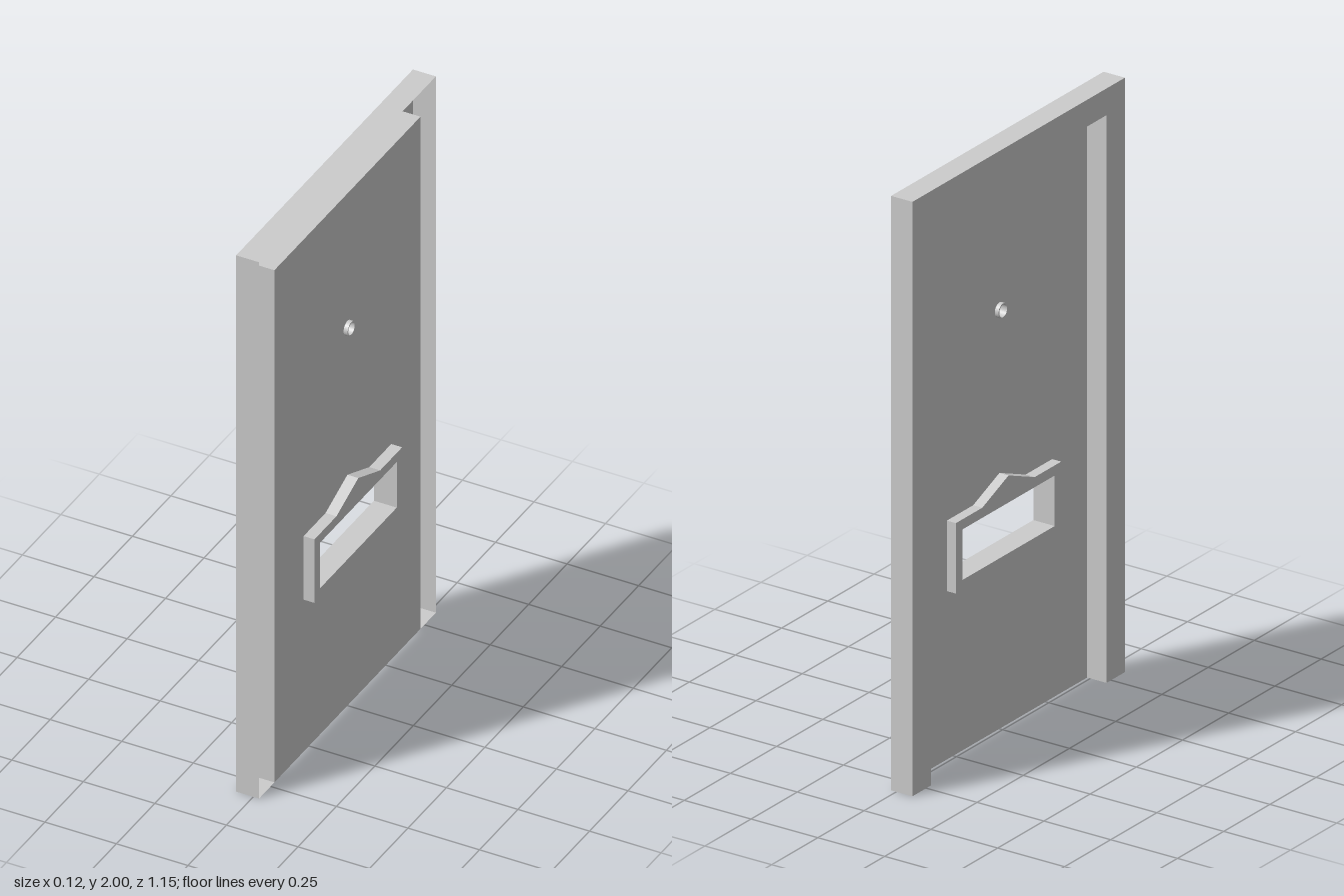
import * as THREE from 'three';
import { mergeGeometries } from 'three/addons/utils/BufferGeometryUtils.js';

const material = new THREE.MeshStandardMaterial({ color: 0xcccccc, side: THREE.DoubleSide });
const FACE = 0.02;    // outer plane of the door
const BACK = -0.06;   // rear plane of the frame
const DOOR = 0.008;   // thickness of the door leaf

const toPoints = (list) => list.map(([u, v]) => new THREE.Vector2(u, v));
const rect = (w, y0, y1) => toPoints([[-w, y0], [w, y0], [w, y1], [-w, y1]]);

// Profiles are drawn in the door plane, then turned so that depth runs along x.
function addPart(group, name, geometry, x) {
  geometry.rotateY(Math.PI / 2);
  const mesh = new THREE.Mesh(geometry, material);
  mesh.name = name;
  mesh.position.x = x;
  group.add(mesh);
}

function plate(outline, holes, depth) {
  const shape = new THREE.Shape(outline);
  shape.holes = holes.map((h) => new THREE.Path(h));
  return new THREE.ExtrudeGeometry(shape, { depth, bevelEnabled: false, curveSegments: 24 });
}

// Casing that is closed at the rear and open at the front
function openCasing(outline, depth) {
  const parts = [new THREE.ShapeGeometry(new THREE.Shape(outline)).scale(1, 1, -1)];
  outline.forEach((a, i) => {
    const b = outline[(i + 1) % outline.length];
    const wall = new THREE.PlaneGeometry(a.distanceTo(b), depth);
    wall.rotateX(Math.PI / 2).rotateZ(Math.atan2(b.y - a.y, b.x - a.x));
    parts.push(wall.translate((a.x + b.x) / 2, (a.y + b.y) / 2, depth / 2));
  });
  // Rear panel faces away from the door
  const index = parts[0].index;
  for (let i = 0; i < index.count; i += 3) {
    const first = index.getX(i);
    index.setX(i, index.getX(i + 2));
    index.setX(i + 2, first);
  }
  parts[0].computeVertexNormals();
  return mergeGeometries(parts);
}

export function createModel() {
  const group = new THREE.Group();
  group.name = 'door';

  // Frame with two jambs and a header
  const frame = toPoints([
    [-0.575, 0], [-0.475, 0], [-0.475, 1.91], [0.475, 1.91],
    [0.475, 0], [0.575, 0], [0.575, 2], [-0.575, 2],
  ]);
  addPart(group, 'frame', openCasing(frame, FACE - BACK), BACK);

  // Door leaf, cut through for the letter slot and peephole
  const circle = (r) => new THREE.Path().absarc(0, 1.41, r, 0, Math.PI * 2).getPoints(24).slice(0, -1);
  const slot = rect(0.25, 0.6, 0.77);
  const bore = circle(0.021);
  addPart(group, 'doorLeaf', plate(rect(0.475, 0, 1.91), [slot, bore], DOOR), FACE - DOOR);

  // Letter slot surround with a small pediment, on both faces
  const surround = toPoints([
    [-0.285, 0.567], [0.285, 0.567], [0.285, 0.804], [0.142, 0.804],
    [0, 0.861], [-0.142, 0.804], [-0.285, 0.804],
  ]);
  const slotDepth = 0.038;
  addPart(group, 'outerSlotSurround', plate(surround, [slot], slotDepth), FACE);
  addPart(group, 'innerSlotSurround', plate(surround, [slot], slotDepth), FACE - DOOR - slotDepth + 0.004);

  // Peephole ring on both faces
  const ringDepth = 0.014;
  addPart(group, 'outerPeepholeRing', plate(circle(0.025), [bore], ringDepth), FACE);
  addPart(group, 'innerPeepholeRing', plate(circle(0.025), [bore], ringDepth), FACE - DOOR - ringDepth);

  return group;
}
